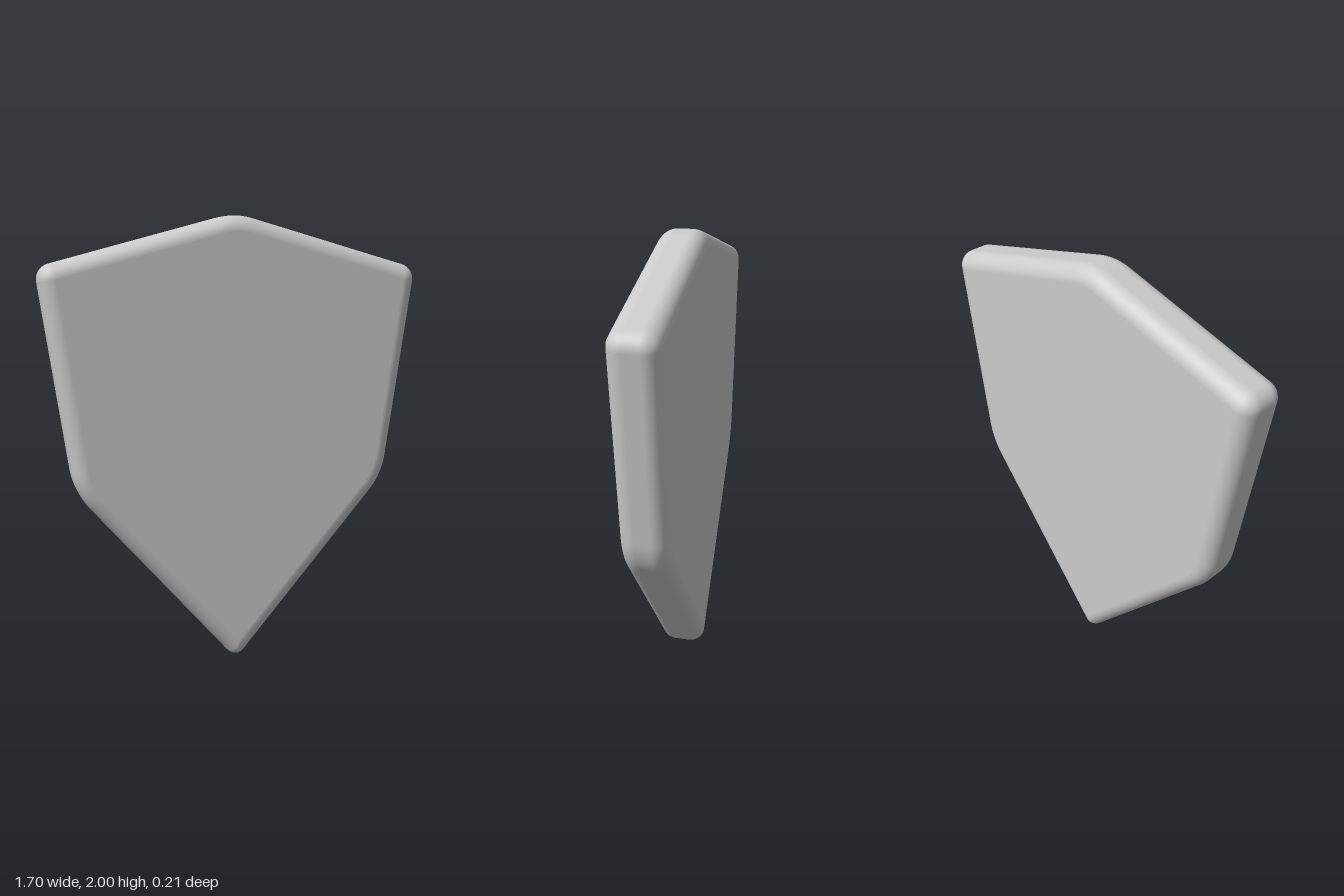
import * as THREE from 'three';

const HALF_DEPTH = 0.104, BEVEL = 0.07, CORNER_STEPS = 10, BEVEL_STEPS = 8;

// Sharp outline corners, counter-clockwise from the peak: x, y, rounding radius
const CORNERS = [
  [0, 2.01, 0.29],
  [-0.857, 1.778, 0.07],
  [-0.722, 0.815, 0.33],
  [0, -0.026, 0.05],
  [0.722, 0.815, 0.33],
  [0.857, 1.778, 0.07],
];

// Outline with rounded corners, inset by d; each point carries its outward direction
function outline(d) {
  const points = [];
  const n = CORNERS.length;
  const normalAngle = (p, q) => Math.atan2(p[0] - q[0], q[1] - p[1]);
  CORNERS.forEach((corner, i) => {
    const start = normalAngle(CORNERS[(i + n - 1) % n], corner);
    let turn = normalAngle(corner, CORNERS[(i + 1) % n]) - start;
    if (turn < 0) turn += Math.PI * 2;
    const r = Math.max(corner[2] - d, 0.003);
    const mid = start + turn / 2;
    const back = (d + r) / Math.cos(turn / 2);
    const cx = corner[0] - Math.cos(mid) * back;
    const cy = corner[1] - Math.sin(mid) * back;
    for (let s = 0; s <= CORNER_STEPS; s++) {
      const a = start + (turn * s) / CORNER_STEPS;
      const nx = Math.cos(a), ny = Math.sin(a);
      points.push({ x: cx + nx * r, y: cy + ny * r, nx, ny });
    }
  });
  return points;
}

// Plate with a rounded edge: rings run from the front face round to the back
function plateGeometry() {
  const positions = [], normals = [], index = [];
  const addRing = (angle, side) => {
    const inset = BEVEL * (1 - Math.sin(angle));
    const z = side * (HALF_DEPTH - BEVEL + BEVEL * Math.cos(angle));
    for (const p of outline(inset)) {
      positions.push(p.x, p.y, z);
      normals.push(p.nx * Math.sin(angle), p.ny * Math.sin(angle), side * Math.cos(angle));
    }
  };
  for (let k = 0; k <= BEVEL_STEPS; k++) addRing((k / BEVEL_STEPS) * Math.PI / 2, 1);
  for (let k = BEVEL_STEPS; k >= 0; k--) addRing((k / BEVEL_STEPS) * Math.PI / 2, -1);

  const count = CORNERS.length * (CORNER_STEPS + 1);
  const rings = 2 * (BEVEL_STEPS + 1);
  for (let k = 0; k < rings - 1; k++) {
    for (let i = 0; i < count; i++) {
      const j = (i + 1) % count;
      const a = k * count + i, b = k * count + j;
      const c = a + count, d = b + count;
      index.push(a, c, d, a, d, b);
    }
  }

  // Front and back faces
  const front = rings * count, back = front + 1, last = (rings - 1) * count;
  positions.push(0, 1.15, HALF_DEPTH, 0, 1.15, -HALF_DEPTH);
  normals.push(0, 0, 1, 0, 0, -1);
  for (let i = 0; i < count; i++) {
    const j = (i + 1) % count;
    index.push(front, i, j, back, last + j, last + i);
  }

  const geometry = new THREE.BufferGeometry();
  geometry.setAttribute('position', new THREE.Float32BufferAttribute(positions, 3));
  geometry.setAttribute('normal', new THREE.Float32BufferAttribute(normals, 3));
  geometry.setIndex(index);
  return geometry;
}

export function createModel() {
  const group = new THREE.Group();
  group.name = 'shield';
  const plate = new THREE.Mesh(plateGeometry(), new THREE.MeshStandardMaterial({ color: 0xcccccc }));
  plate.name = 'shieldPlate';
  group.add(plate);
  return group;
}
